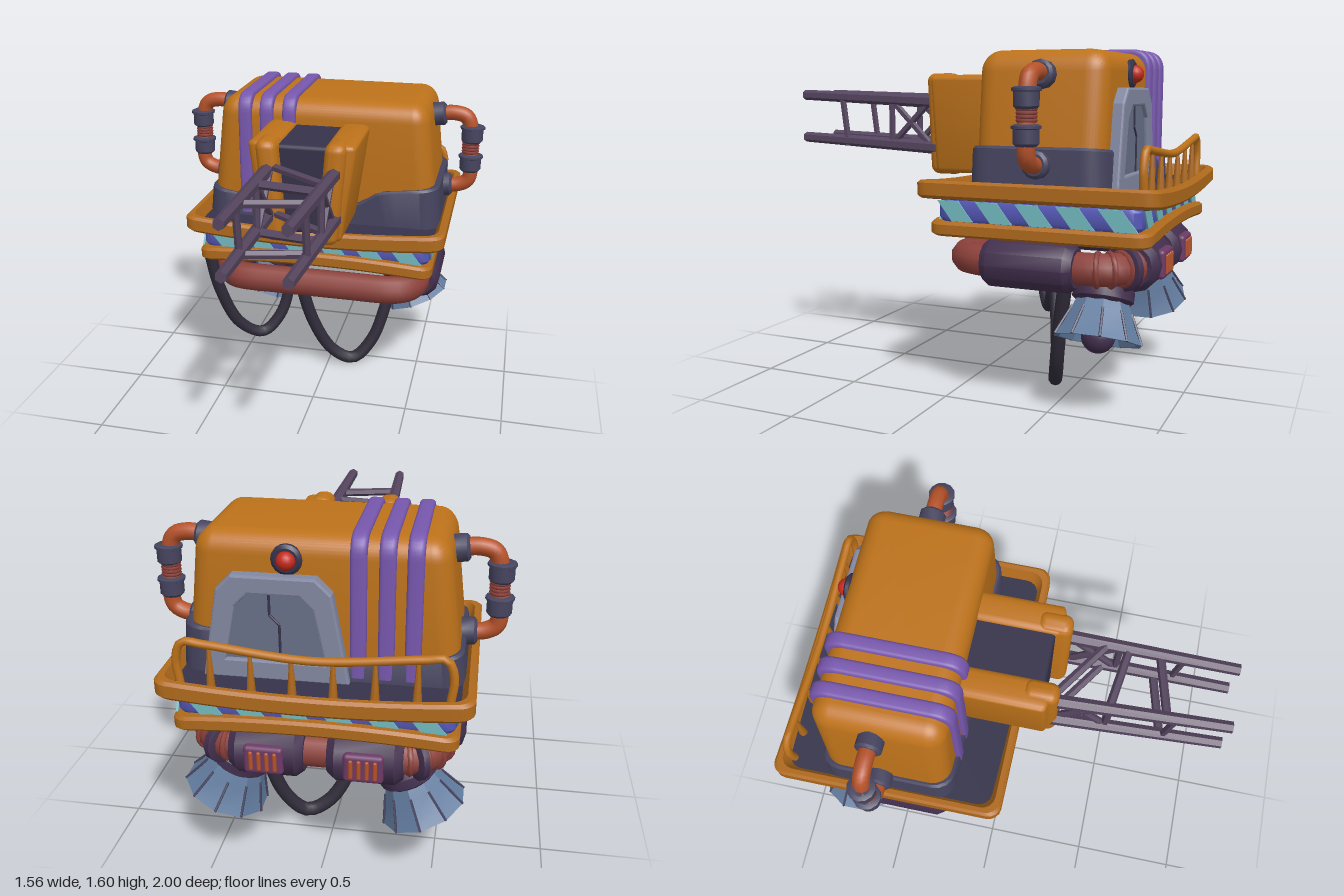
import * as THREE from 'three';
import { toCreasedNormals } from 'three/addons/utils/BufferGeometryUtils.js';
import { RoundedBoxGeometry } from 'three/addons/geometries/RoundedBoxGeometry.js';

const V = (x, y, z) => new THREE.Vector3(x, y, z);
const mat = (color) => new THREE.MeshStandardMaterial({ color, side: THREE.DoubleSide });
const M = {
  orange: mat(0xbd721a), rim: mat(0xb06a1c), dark: mat(0x35324a), skirt: mat(0x46445f), violet: mat(0x7757ad),
  blue: mat(0x5558b8), teal: mat(0x72b9c0), red: mat(0x8c403a), plum: mat(0x43304f), bell: mat(0x627c9f),
  copper: mat(0xb5522a), lattice: mat(0x55455f), hose: mat(0x302c3a), grey: mat(0x8288a2), glass: mat(0x697088),
  lamp: mat(0xc42a1c), magenta: mat(0x6d3a66),
};

// Rounded rectangle of points in the xz plane, with divided straight edges
function ring(hx, hz, r, cz, y, edge = 14) {
  const pts = [], signs = [[1, 1], [-1, 1], [-1, -1], [1, -1]];
  const arc = (k, t) => {
    const a = (k + t) * Math.PI / 2, [sx, sz] = signs[k];
    return V(sx * (hx - r) + r * Math.cos(a), y, cz + sz * (hz - r) + r * Math.sin(a));
  };
  for (let k = 0; k < 4; k++) {
    for (let i = 0; i <= 4; i++) pts.push(arc(k, i / 4));
    const a = arc(k, 1), b = arc((k + 1) % 4, 0);
    for (let i = 1; i < edge; i++) pts.push(a.clone().lerp(b, i / edge));
  }
  return pts;
}

// Skin a list of equal rings
function loft(rings) {
  const n = rings[0].length, idx = [];
  for (let i = 0; i < rings.length - 1; i++) for (let j = 0; j < n; j++) {
    const a = i * n + j, b = i * n + (j + 1) % n;
    idx.push(a, a + n, b + n, a, b + n, b);
  }
  const g = new THREE.BufferGeometry().setFromPoints(rings.flat());
  g.setIndex(idx);
  return toCreasedNormals(g, 0.6);
}

// Move every vertex of a geometry by a rule
function reshape(geo, rule, crease = 0.7) {
  const p = geo.attributes.position, v = V(0, 0, 0);
  for (let i = 0; i < p.count; i++) {
    rule(v.fromBufferAttribute(p, i));
    p.setXYZ(i, v.x, v.y, v.z);
  }
  return toCreasedNormals(geo, crease);
}

function add(parent, name, geo, material, x = 0, y = 0, z = 0) {
  const m = new THREE.Mesh(geo, material);
  m.name = name;
  m.position.set(x, y, z);
  parent.add(m);
  return m;
}

// Cylinder or lathe part laid between two points
function aim(mesh, a, b) {
  mesh.position.copy(a).lerp(b, 0.5);
  mesh.quaternion.setFromUnitVectors(V(0, 1, 0), b.clone().sub(a).normalize());
  return mesh;
}
function rod(parent, name, a, b, r0, r1, material, sides = 8) {
  return aim(add(parent, name, toCreasedNormals(new THREE.CylinderGeometry(r1, r0, a.distanceTo(b), sides), 0.9), material), a, b);
}
function tube(parent, name, pts, r, material, closed = false, segs = 48) {
  return add(parent, name, new THREE.TubeGeometry(new THREE.CatmullRomCurve3(pts, closed), segs, r, 10, closed), material);
}
// Barrel with chamfered ends
function barrel(parent, name, a, b, r, bevel, material, sides = 12) {
  const h = a.distanceTo(b) / 2;
  const prof = [[0, -h], [r * 0.78, -h], [r, -h + bevel], [r, h - bevel], [r * 0.78, h], [0, h]];
  const g = new THREE.LatheGeometry(prof.map(p => new THREE.Vector2(...p)), sides);
  return aim(add(parent, name, toCreasedNormals(g, 0.6), material), a, b);
}
const polygon = (pts) => new THREE.Shape(pts.map(p => new THREE.Vector2(...p)));

function buildDeck(g) {
  const cz = -0.46;
  const rim = (name, hx, hz, prof, bow) => {
    const rings = prof.map(([o, y]) => ring(hx + o, hz + o, 0.06, cz, y));
    for (const p of rings.flat()) p.y += bow * Math.max(0, 1 - (p.x / hx) ** 2);
    add(g, name, loft(rings), M.rim);
  };
  rim('upperRim', 0.65, 0.54, [[-0.07, 0.945], [-0.012, 0.945], [0, 0.958], [0, 1.012], [-0.012, 1.025], [-0.034, 1.025], [-0.045, 1.0], [-0.07, 0.945]], -0.033);
  rim('lowerRim', 0.595, 0.5, [[-0.09, 0.77], [-0.012, 0.77], [0, 0.782], [0, 0.823], [-0.012, 0.835], [-0.09, 0.835], [-0.09, 0.77]], 0.026);
  add(g, 'deckFloor', new THREE.BoxGeometry(1.2, 0.03, 0.99), M.dark, 0, 0.952, cz);
  add(g, 'underside', new THREE.BoxGeometry(1.06, 0.03, 0.87), M.rim, 0, 0.815, cz);
  add(g, 'stripedBand', loft([[-0.05, 0.81], [-0.01, 0.835], [0, 0.855], [0, 0.92], [-0.01, 0.94], [-0.05, 0.96]]
    .map(([o, y]) => ring(0.58 + o, 0.46 + o, 0.05, cz, y))), M.blue);
  // Slanted stripes on all four faces
  const stripe = new THREE.ExtrudeGeometry(polygon([[-0.015, -0.05], [0.085, -0.05], [0.015, 0.04], [-0.085, 0.04]]), { depth: 0.01, bevelEnabled: false });
  for (let k = 0; k < 4; k++) {
    const face = new THREE.Group(), n = k % 2 ? 5 : 6;
    face.name = 'stripes';
    face.position.set(0, 0.89, cz);
    face.rotation.y = k * Math.PI / 2;
    for (let i = 0; i < n; i++) add(face, 'stripe', stripe, M.teal, (i - (n - 1) / 2) * 0.183, 0, (k % 2 ? 0.58 : 0.46) - 0.004);
    g.add(face);
  }
}

function buildCabin(g) {
  const cz = -0.46;
  add(g, 'cabin', reshape(new RoundedBoxGeometry(1.18, 0.66, 0.58, 5, 0.09), v => { v.x *= 0.94 - 0.2 * v.y; }), M.orange, 0, 1.25, cz);
  // Skirt with an uneven top edge
  const knots = [[-0.6, 1.11], [-0.1, 1.03], [0.12, 1.05], [0.22, 1.09], [0.3, 1.145], [0.61, 1.18]];
  const height = (x) => {
    for (let i = 1; i < knots.length; i++) {
      const [x0, y0] = knots[i - 1], [x1, y1] = knots[i];
      if (x <= x1) return y0 + (y1 - y0) * (x - x0) / (x1 - x0);
    }
    return 1.18;
  };
  const top = (hx, hz, d) => ring(hx, hz, 0.09, cz, 0, 24).map(p => p.setY(height(p.x) - d));
  add(g, 'cabinSkirt', loft([ring(0.605, 0.31, 0.09, cz, 0.95, 24), top(0.59, 0.308, 0.012), top(0.58, 0.3, 0), top(0.54, 0.26, 0)]), M.skirt);
  // Strap bands over the cabin
  const s = new THREE.Shape(), a = -0.755, b = -0.165, h = 1.585, r = 0.08;
  s.moveTo(a, 1.0); s.lineTo(b, 1.0); s.lineTo(b, h - r); s.quadraticCurveTo(b, h, b - r, h);
  s.lineTo(a + r, h); s.quadraticCurveTo(a, h, a, h - r); s.lineTo(a, 1.0);
  const strap = new THREE.ExtrudeGeometry(s, { depth: 0.036, bevelSize: 0.016, bevelThickness: 0.016, bevelSegments: 3, curveSegments: 8 });
  strap.translate(0, 0, -0.018).rotateY(-Math.PI / 2);
  for (const x of [-0.385, -0.275, -0.16]) add(g, 'strap', toCreasedNormals(strap, 0.8), M.violet, x, 0, 0);
  // Rear hatch
  const hatch = (w0, w1, y0, y1) => polygon([[-w0, y0], [w0, y0], [w1 + 0.03, y1 - 0.06], [w1 - 0.03, y1], [-w1 + 0.03, y1], [-w1 - 0.03, y1 - 0.06]]);
  const frame = hatch(0.3, 0.2, 0.97, 1.41);
  frame.holes.push(hatch(0.22, 0.14, 1.04, 1.35));
  add(g, 'hatchFrame', new THREE.ExtrudeGeometry(frame, { depth: 0.05, bevelSize: 0.01, bevelThickness: 0.01, bevelSegments: 2 }), M.grey, 0.18, 0, -0.79);
  add(g, 'hatchPanel', new THREE.ExtrudeGeometry(hatch(0.23, 0.15, 1.02, 1.36), { depth: 0.03, bevelEnabled: false }), M.glass, 0.18, 0, -0.782);
  const seam = [[0.2, 1.36], [0.2, 1.25], [0.16, 1.21], [0.16, 1.03]].map(p => V(p[0], p[1], -0.783));
  for (let i = 0; i < 3; i++) rod(g, 'hatchSeam', seam[i], seam[i + 1], 0.006, 0.006, M.dark, 6);
  // Warning lamp
  barrel(g, 'lampBase', V(0.13, 1.48, -0.73), V(0.13, 1.48, -0.765), 0.065, 0.01, M.dark, 16);
  add(g, 'lamp', new THREE.SphereGeometry(0.04, 16, 10), M.lamp, 0.13, 1.48, -0.765);
  // Side pipes
  for (const sx of [-1, 1]) {
    const P = (x, y) => V(sx * x, y, -0.48);
    tube(g, 'sidePipe', [P(0.52, 1.475), P(0.63, 1.485), P(0.69, 1.465), P(0.715, 1.39), P(0.715, 1.3), P(0.725, 1.22), P(0.715, 1.14), P(0.67, 1.11), P(0.55, 1.1)], 0.038, M.copper);
    barrel(g, 'pipeSocket', P(0.5, 1.47), P(0.585, 1.48), 0.06, 0.012, M.skirt);
    barrel(g, 'pipeSocket', P(0.55, 1.1), P(0.635, 1.105), 0.06, 0.012, M.skirt);
    for (const y of [1.38, 1.23]) {
      barrel(g, 'pipeCollar', P(0.72, y - 0.045), P(0.72, y + 0.045), 0.054, 0.012, M.skirt);
      barrel(g, 'pipeFlange', P(0.72, y + 0.022), P(0.72, y + 0.045), 0.062, 0.006, M.skirt);
    }
    for (let i = 0; i < 4; i++) add(g, 'pipeRib', new THREE.TorusGeometry(0.036, 0.009, 6, 16), M.red, sx * 0.716, 1.29 + i * 0.015, -0.48).rotation.x = Math.PI / 2;
  }
}

function buildLadder(g) {
  add(g, 'ladderCore', new RoundedBoxGeometry(0.27, 0.43, 0.4, 2, 0.02), M.dark, -0.01, 1.245, -0.02);
  for (const sx of [-1, 1]) {
    // Slanted cheek and its rounded front post
    const lean = (v) => { v.x += sx * Math.max(0, sx * v.x + 0.04) * (v.y + 0.245) * 1.7; };
    add(g, 'ladderCheek', reshape(new RoundedBoxGeometry(0.08, 0.47, 0.42, 3, 0.025), lean), M.orange, sx * 0.15 - 0.01, 1.245, 0);
    add(g, 'ladderPost', reshape(new RoundedBoxGeometry(0.1, 0.49, 0.16, 4, 0.04), v => { v.x += sx * v.y * 0.08; }), M.orange, sx * 0.145 - 0.008, 1.245, 0.17);
    for (const [y0, y1] of [[1.35, 1.385], [1.125, 1.165]]) {
      rod(g, 'ladderRail', V(sx * 0.16 - 0.005, y0, 0.12), V(sx * 0.135, y1, 1), 0.033, 0.026, M.lattice, 6);
    }
    for (const [y0, z0, y1, z1] of [[1.13, 0.73, 1.36, 0.76], [1.13, 0.48, 1.35, 0.26], [1.14, 0.25, 1.35, 0.46], [1.13, 0.47, 1.35, 0.47]]) {
      rod(g, 'ladderBrace', V(sx * 0.145, y0, z0), V(sx * 0.145, y1, z1), 0.017, 0.017, M.lattice, 6);
    }
  }
  for (const y of [1.365, 1.14]) for (const [z0, z1] of [[0.22, 0.41], [0.47, 0.51], [0.72, 0.65]]) {
    rod(g, 'ladderRung', V(-0.14, y, z0), V(0.14, y, z1), 0.02, 0.02, M.lattice, 6);
  }
}

function buildRailing(g) {
  const z = -0.92;
  tube(g, 'railing', [V(-0.55, 0.98, z), V(-0.56, 1.1, z), V(-0.53, 1.17, z), V(-0.44, 1.165, z), V(0, 1.125, z), V(0.44, 1.165, z), V(0.53, 1.17, z), V(0.56, 1.1, z), V(0.55, 0.98, z)], 0.018, M.orange);
  for (let i = 0; i < 6; i++) {
    const x = -0.42 + i * 0.168;
    rod(g, 'railingPost', V(x, 0.96, z), V(x, 1.125 + 0.16 * x * x, z), 0.02, 0.008, M.rim);
  }
}

function buildEngines(g) {
  const y = 0.66;
  tube(g, 'pipeLoop', ring(0.5, 0.385, 0.14, -0.445, y, 4), 0.072, M.red, true, 120);
  const bell = new THREE.LatheGeometry([[0.11, 0.19], [0.135, 0.13], [0.16, 0.06], [0.195, 0], [0.175, 0], [0.14, 0.07], [0.09, 0.16]].map(p => new THREE.Vector2(...p)), 10);
  const cap = new THREE.LatheGeometry([[0, 0.15], [0.11, 0.16], [0.135, 0.18], [0.135, 0.225], [0.115, 0.245]].map(p => new THREE.Vector2(...p)), 20);
  for (const sx of [-1, 1]) {
    barrel(g, 'sideTank', V(sx * 0.505, y, -0.21), V(sx * 0.505, y, -0.63), 0.112, 0.035, M.plum);
    barrel(g, 'rearTank', V(sx * 0.05, y, -0.825), V(sx * 0.37, y, -0.825), 0.122, 0.035, M.plum);
    // Vent on the rear tank
    add(g, 'ventFrame', new RoundedBoxGeometry(0.17, 0.13, 0.05, 2, 0.018), M.magenta, sx * 0.21, y, -0.932);
    for (let i = 0; i < 4; i++) add(g, 'ventSlat', new RoundedBoxGeometry(0.018, 0.09, 0.02, 2, 0.008), M.copper, sx * 0.21 + (i - 1.5) * 0.034, y, -0.956);
    // Ribs on the rear bend
    for (let i = 0; i < 4; i++) {
      const a = (i + 0.5) * Math.PI / 8;
      const rib = add(g, 'bendRib', new THREE.TorusGeometry(0.07, 0.013, 6, 20), M.red, sx * (0.36 + 0.14 * Math.cos(a)), y, -0.69 - 0.14 * Math.sin(a));
      rib.rotation.y = sx * a;
    }
    barrel(g, 'bendCollar', V(sx * 0.4, y, -0.83), V(sx * 0.44, y, -0.805), 0.1, 0.01, M.plum);
    // Thruster, tilted outward
    const t = new THREE.Group();
    t.name = 'thruster';
    t.position.set(sx * 0.452, 0.34, -0.71);
    t.rotation.z = sx * 0.4;
    add(t, 'bell', toCreasedNormals(bell, 0.35), M.bell);
    for (let i = 0; i < 10; i++) {
      const a = i * Math.PI / 5, s = Math.sin(a), c = Math.cos(a);
      rod(t, 'bellSeam', V(0.195 * s, 0, 0.195 * c), V(0.135 * s, 0.13, 0.135 * c), 0.006, 0.006, M.skirt, 5);
    }
    add(t, 'thrusterCollar', toCreasedNormals(cap, 0.7), M.plum);
    add(t, 'thrusterDome', new THREE.SphereGeometry(0.118, 20, 14), M.magenta, 0, 0.245, 0);
    add(t, 'thrusterCore', new THREE.SphereGeometry(0.075, 16, 12), M.plum, 0, 0.02, 0);
    rod(t, 'coreStem', V(0, 0.02, 0), V(0, 0.18, 0), 0.05, 0.06, M.plum);
    g.add(t);
  }
}

function buildHoses(g) {
  tube(g, 'smallHose', [V(-0.55, 0.79, -0.01), V(-0.52, 0.58, -0.05), V(-0.44, 0.34, -0.13), V(-0.33, 0.262, -0.2), V(-0.24, 0.36, -0.25), V(-0.19, 0.57, -0.28), V(-0.18, 0.8, -0.29)], 0.031, M.hose);
  tube(g, 'largeHose', [V(-0.17, 0.8, -0.29), V(-0.14, 0.55, -0.3), V(-0.07, 0.27, -0.34), V(0.03, 0.09, -0.38), V(0.14, 0.034, -0.41), V(0.24, 0.14, -0.45), V(0.31, 0.36, -0.49), V(0.35, 0.6, -0.53), V(0.35, 0.8, -0.54)], 0.034, M.hose);
}

export function createModel() {
  const model = new THREE.Group();
  model.name = 'hoverPlatform';
  const parts = { deck: buildDeck, cabinUnit: buildCabin, ladderUnit: buildLadder, railingUnit: buildRailing, engines: buildEngines, hoses: buildHoses };
  for (const [name, build] of Object.entries(parts)) {
    const g = new THREE.Group();
    g.name = name;
    build(g);
    model.add(g);
  }
  return model;
}
